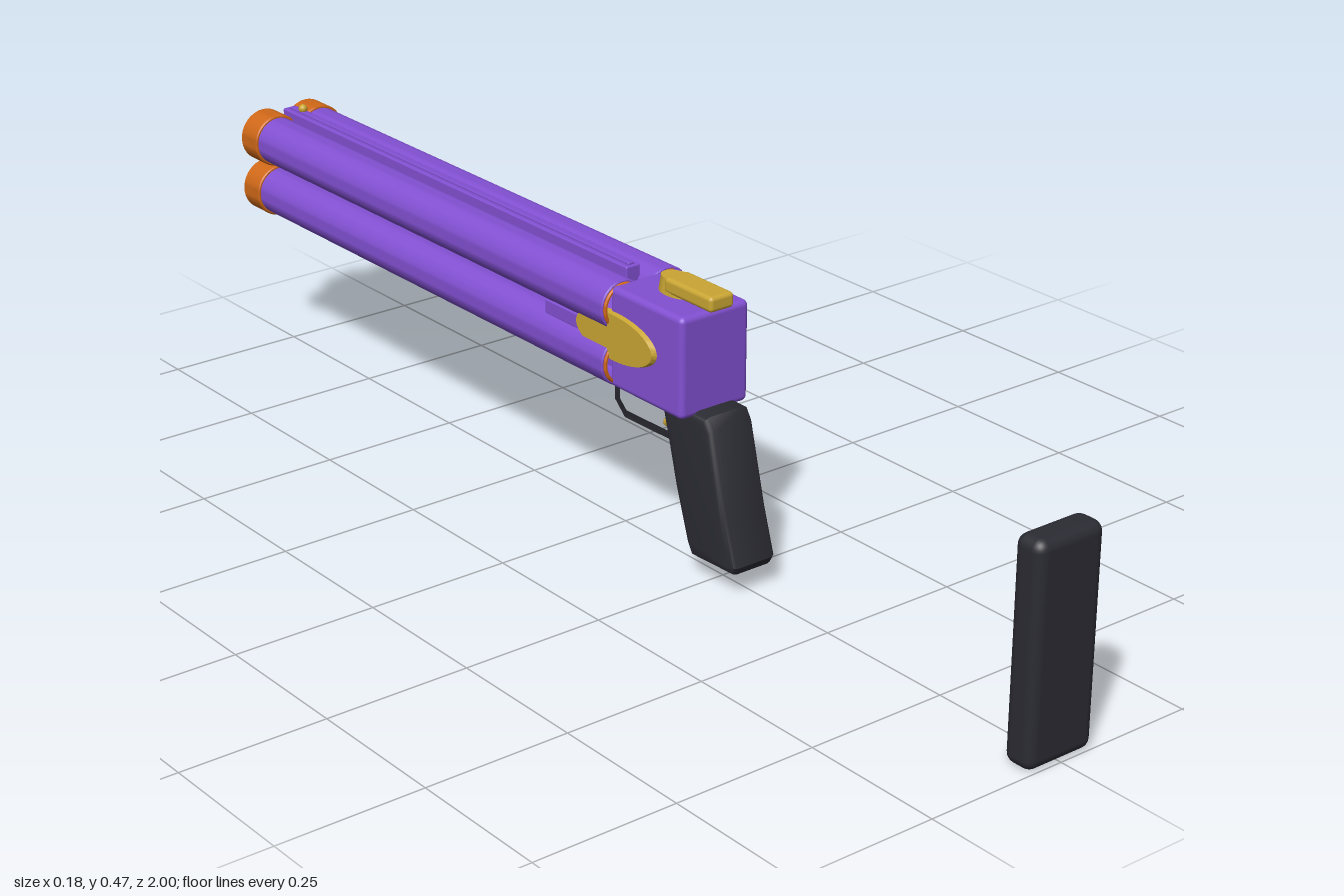
import * as THREE from 'three';
import { RoundedBoxGeometry } from 'three/addons/geometries/RoundedBoxGeometry.js';
import { toCreasedNormals } from 'three/addons/utils/BufferGeometryUtils.js';

const mat = (name, color) => new THREE.MeshStandardMaterial({ name, color });

export function createModel() {
  const model = new THREE.Group();
  model.name = 'fourBarrelGun';
  const purple = mat('purple', 0x8250d2);
  const orange = mat('orange', 0xcf6818);
  const gold = mat('gold', 0xcaa634);
  const black = mat('black', 0x2b2b33);

  const add = (name, geometry, material, x = 0, y = 0, z = 0) => {
    const mesh = new THREE.Mesh(geometry, material);
    mesh.name = name;
    mesh.position.set(x, y, z);
    model.add(mesh);
    return mesh;
  };

  // box given by its limits on each axis
  const box = (name, material, [x0, x1], [y0, y1], [z0, z1], r = 0.003) =>
    add(name, new RoundedBoxGeometry(x1 - x0, y1 - y0, z1 - z0, 3, r), material,
      (x0 + x1) / 2, (y0 + y1) / 2, (z0 + z1) / 2);

  // hollow tube along z, from z0 (front) back to z1
  const tube = (name, material, rOut, rIn, z0, z1, x, y) => {
    const b = 0.002;
    const profile = [
      [rIn, z0], [rIn, z1], [rOut - b, z1], [rOut, z1 - b], [rOut, z0 + b], [rOut - b, z0], [rIn, z0],
    ].map(([r, z]) => new THREE.Vector2(r, -z));
    const g = toCreasedNormals(new THREE.LatheGeometry(profile, 40), 0.6);
    g.rotateX(-Math.PI / 2);
    return add(name, g, material, x, y, 0);
  };

  // side outline in (z, y), extruded across x and centred
  const sideExtrude = (shape, width, bevel) => {
    const g = new THREE.ExtrudeGeometry(shape, {
      depth: width - 2 * bevel, bevelEnabled: bevel > 0, bevelSize: bevel,
      bevelThickness: bevel, bevelOffset: -bevel, bevelSegments: 4, curveSegments: 10,
    });
    g.translate(0, 0, -(width - 2 * bevel) / 2);
    g.rotateY(-Math.PI / 2);
    return toCreasedNormals(g, 0.6);
  };
  const shapeOf = (points) => new THREE.Shape(points.map(([z, y]) => new THREE.Vector2(z, y)));

  // four barrels with muzzle rings and breech rims
  for (const x of [-0.045, 0.045]) {
    for (const y of [0.409, 0.315]) {
      tube('barrel', purple, 0.0425, 0.034, -0.965, 0.05, x, y);
      tube('muzzleRing', orange, 0.047, 0.036, -1, -0.95, x, y);
      tube('breechRim', orange, 0.039, 0.034, 0.046, 0.054, x, y);
    }
  }

  // sighting rib and bead
  box('rib', purple, [-0.014, 0.014], [0.425, 0.456], [-0.98, 0.02]);
  box('ribSpine', purple, [-0.006, 0.006], [0.45, 0.46], [-0.97, 0.015], 0.002);
  add('frontBead', new THREE.SphereGeometry(0.008, 16, 12), gold, 0, 0.464, -0.935);

  // receiver, barrel bed and hinge
  box('receiver', purple, [-0.068, 0.068], [0.275, 0.446], [0.045, 0.225], 0.01);
  box('barrelBed', purple, [-0.03, 0.03], [0.273, 0.36], [-0.11, 0.07]);
  box('sideBars', purple, [-0.071, 0.071], [0.347, 0.373], [-0.12, 0.06]);
  const pin = add('hingePin', new THREE.CylinderGeometry(0.009, 0.009, 0.06, 20), purple, 0, 0.276, -0.108);
  pin.rotation.z = Math.PI / 2;

  // oval side plates
  for (const side of [-1, 1]) {
    const g = new THREE.CylinderGeometry(0.94, 1, 0.012, 48);
    g.scale(0.041, 1, 0.102);
    g.rotateZ(-side * Math.PI / 2);
    add('sidePlate', toCreasedNormals(g, 0.5), gold, side * 0.07, 0.366, 0.065);
  }

  // top lever
  box('topLever', gold, [-0.024, 0.024], [0.449, 0.475], [0.125, 0.241], 0.007);
  const tip = new THREE.CylinderGeometry(0.021, 0.024, 0.026, 24);
  tip.scale(1, 1, 1.6);
  add('leverTip', toCreasedNormals(tip, 0.6), gold, 0, 0.459, 0.132);

  // raked grip with flared foot
  const grip = shapeOf([
    [0.255, 0.285], [0.268, 0.265], [0.303, 0.13], [0.328, 0.052], [0.32, 0.038],
    [0.22, 0.035], [0.208, 0.055], [0.178, 0.145], [0.162, 0.205], [0.146, 0.262], [0.15, 0.285],
  ]);
  add('grip', sideExtrude(grip, 0.09, 0.014), black);

  // trigger guard loop
  const guard = shapeOf([
    [0.175, 0.28], [0.165, 0.2], [0.02, 0.198], [-0.006, 0.222], [-0.006, 0.28],
  ]);
  guard.holes.push(new THREE.Path([
    [0.142, 0.27], [0.142, 0.212], [0.025, 0.21], [0.006, 0.227], [0.006, 0.27],
  ].map(([z, y]) => new THREE.Vector2(z, y))));
  add('triggerGuard', sideExtrude(guard, 0.036, 0.002), black);

  // curved trigger
  const triggerPath = new THREE.CatmullRomCurve3([
    new THREE.Vector3(0, 0.28, 0.112), new THREE.Vector3(0, 0.25, 0.122),
    new THREE.Vector3(0, 0.228, 0.12), new THREE.Vector3(0, 0.216, 0.108),
  ]);
  add('trigger', new THREE.TubeGeometry(triggerPath, 16, 0.007, 10), gold);
  add('triggerTip', new THREE.SphereGeometry(0.007, 12, 8), gold, 0, 0.216, 0.108);

  // separate butt pad behind the grip
  box('buttPad', black, [-0.065, 0.065], [0, 0.363], [0.945, 1], 0.018);

  return model;
}
